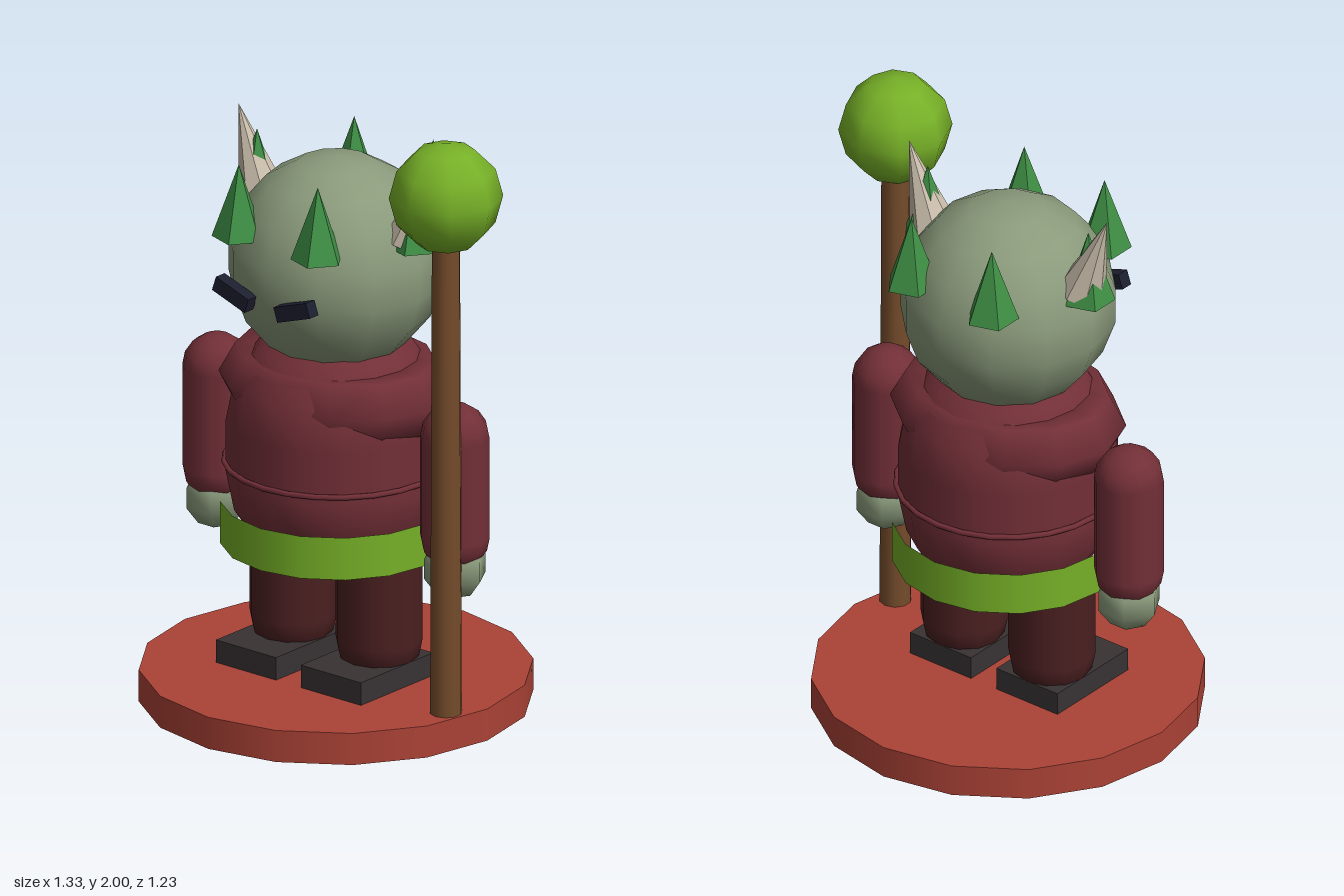
import * as THREE from 'three';

const CX = -0.053; // body centre line

const material = (name, color) => {
  const m = new THREE.MeshStandardMaterial({ color });
  m.name = name;
  return m;
};

// Split faces so that each facet is shaded flat
const faceted = (geometry) => {
  const g = geometry.toNonIndexed();
  g.computeVertexNormals();
  return g;
};

export function createModel() {
  const skin = material('grey green skin', 0x8a9a7b);
  const robe = material('wine cloth', 0x722f37);
  const trouser = material('dark maroon', 0x4a1f20);
  const lime = material('lime', 0x76b027);
  const wood = material('wood', 0x754c2b);
  const leaf = material('leaf green', 0x3f8f45);
  const bone = material('bone', 0xc8bcaa);
  const boot = material('boot black', 0x383233);
  const ink = material('ink', 0x1c1f2e);
  const clay = material('clay red', 0xab4236);

  const model = new THREE.Group();
  model.name = 'figurine';
  const body = new THREE.Group();
  body.name = 'body';
  body.position.x = CX;
  model.add(body);

  const add = (name, geometry, mat, x, y, z, parent = body) => {
    const mesh = new THREE.Mesh(geometry, mat);
    mesh.name = name;
    mesh.position.set(x, y, z);
    parent.add(mesh);
    return mesh;
  };

  // Round stand
  add('base', new THREE.CylinderGeometry(0.617, 0.617, 0.105, 16), clay, 0, 0.0525, 0);

  // Torso, seam and collar
  add('torso', new THREE.CapsuleGeometry(0.345, 0.17, 4, 16), robe, 0, 0.845, 0);
  const seam = add('seam', new THREE.TorusGeometry(0.35, 0.009, 6, 24), robe, 0, 0.79, 0);
  seam.rotation.x = Math.PI / 2;
  const collar = add('collar', new THREE.TorusGeometry(0.285, 0.115, 6, 12), robe, 0, 1.045, 0);
  collar.rotation.x = Math.PI / 2;
  collar.scale.y = 0.79;

  // Belt is an open band
  add('belt', new THREE.CylinderGeometry(0.363, 0.363, 0.14, 16, 1, true), lime, 0, 0.59, 0);

  // Head
  add('head', new THREE.SphereGeometry(0.345, 12, 9), skin, 0, 1.455, 0);

  // Paired limbs, eyes and horns
  const legGeo = new THREE.CapsuleGeometry(0.138, 0.27, 4, 12);
  const bootGeo = new THREE.BoxGeometry(0.245, 0.08, 0.35);
  const armGeo = new THREE.CapsuleGeometry(0.11, 0.33, 4, 12);
  const handGeo = new THREE.SphereGeometry(0.107, 6, 5);
  const eyeGeo = new THREE.BoxGeometry(0.14, 0.05, 0.042);
  const hornGeo = faceted(new THREE.ConeGeometry(0.078, 0.3, 8));
  for (const [side, s] of [['left', 1], ['right', -1]]) {
    add(side + 'Leg', legGeo, trouser, s * 0.175, 0.375, 0);
    add(side + 'Boot', bootGeo, boot, s * 0.173, 0.14, 0.055);
    add(side + 'Arm', armGeo, robe, s * 0.485, 0.815, 0);
    add(side + 'Hand', handGeo, skin, s * 0.485, 0.552, 0);
    add(side + 'Eye', eyeGeo, ink, s * 0.125, 1.408, 0.342).rotation.z = s * 0.33;
    add(side + 'Horn', hornGeo, bone, s * 0.348, 1.735, 0).rotation.z = -s * 0.34;
  }

  // Ring of leafy spikes
  const spikeGeo = faceted(new THREE.ConeGeometry(0.085, 0.24, 5));
  for (let i = 0; i < 6; i++) {
    const a = (i * Math.PI) / 3;
    const spike = add('leafSpike' + (i + 1), spikeGeo, leaf, 0.322 * Math.cos(a), 1.69, 0.322 * Math.sin(a));
    spike.rotation.y = Math.PI / 2;
  }

  // Staff with orb
  const staff = new THREE.Group();
  staff.name = 'staff';
  staff.position.set(0.484, 0, 0.105);
  model.add(staff);
  add('staffShaft', new THREE.CylinderGeometry(0.045, 0.051, 1.62, 10), wood, 0, 0.9, 0, staff);
  add('staffOrb', new THREE.SphereGeometry(0.179, 8, 6), lime, 0, 1.821, 0, staff);

  return model;
}
